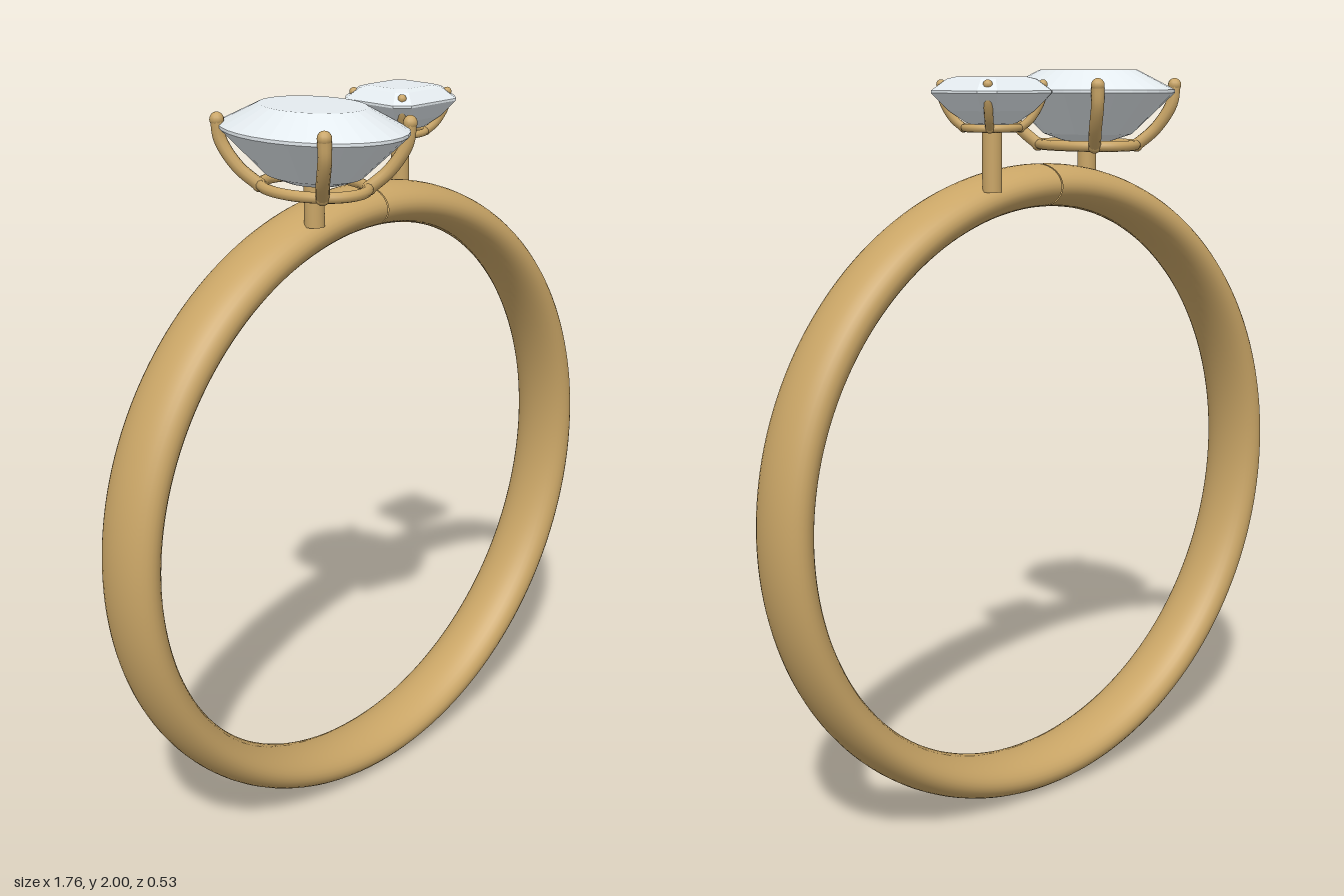
import * as THREE from 'three';

const gold = new THREE.MeshStandardMaterial({ color: 0xc9a566, side: THREE.DoubleSide });
const gem = new THREE.MeshStandardMaterial({ color: 0xe4ebef, flatShading: true });

function add(parent, name, geometry, material = gold) {
  const mesh = new THREE.Mesh(geometry, material);
  mesh.name = name;
  parent.add(mesh);
  return mesh;
}

// Faceted stone: one outline [x, z] scaled by levels [scale, y] from table to culet
function stoneGeometry(outline, levels) {
  const n = outline.length, pos = [], index = [];
  const rows = [[0, levels[0][1]], ...levels];
  for (const [s, y] of rows) for (const [x, z] of outline) pos.push(x * s, y, z * s);
  for (let i = 0; i < rows.length - 1; i++) {
    for (let j = 0; j < n; j++) {
      const k = (j + 1) % n, a = i * n + j, b = i * n + k;
      if (rows[i][0] > 0) index.push(a, b, a + n);
      if (rows[i + 1][0] > 0) index.push(b, b + n, a + n);
    }
  }
  const g = new THREE.BufferGeometry();
  g.setAttribute('position', new THREE.Float32BufferAttribute(pos, 3));
  g.setIndex(index);
  const flat = g.toNonIndexed();
  flat.computeVertexNormals();
  return flat;
}

// Closed elliptical wire lying flat at height y
function wireRing(rx, rz, y, r) {
  const pts = [];
  for (let i = 0; i < 32; i++) {
    const a = (i / 32) * Math.PI * 2;
    pts.push(new THREE.Vector3(rx * Math.cos(a), y, rz * Math.sin(a)));
  }
  return new THREE.TubeGeometry(new THREE.CatmullRomCurve3(pts, true), 64, r, 10, true);
}

// Stone on a post, held by a wire basket and four mirrored prongs
function setting(name, o) {
  const g = new THREE.Group();
  g.name = name;
  add(g, 'stone', stoneGeometry(o.outline, o.levels), gem);
  add(g, 'basketRing', wireRing(o.ring[0], o.ring[1], o.ring[2], o.ring[3]));
  const h = o.postTop - o.postBottom;
  add(g, 'post', new THREE.CylinderGeometry(o.postR, o.postR, h, 20))
    .position.y = o.postBottom + h / 2;
  for (const sx of [1, -1]) {
    for (const sz of [1, -1]) {
      const pts = o.prong.map(([x, y, z]) => new THREE.Vector3(x * sx, y, z * sz));
      add(g, 'prong', new THREE.TubeGeometry(new THREE.CatmullRomCurve3(pts), 20, o.prongR, 10));
      for (const p of [pts[0], pts[pts.length - 1]]) {
        add(g, 'prongTip', new THREE.SphereGeometry(o.prongR * 1.08, 12, 8)).position.copy(p);
      }
    }
  }
  g.position.set(o.x, 0, o.z);
  return g;
}

export function createModel() {
  const model = new THREE.Group();
  model.name = 'ring';

  // Oval-section band with a hairline seam at the top
  const gap = 0.004;
  const band = new THREE.TorusGeometry(0.822, 0.056, 32, 180, Math.PI * 2 - gap);
  band.rotateZ(Math.PI / 2 + gap / 2);
  band.scale(1, 1, 0.093 / 0.056);
  add(model, 'band', band).position.set(0, 0.882, -0.072);

  // Large oval stone
  const oval = [];
  for (let i = 0; i < 32; i++) {
    const a = (i / 32) * Math.PI * 2;
    oval.push([0.2 * Math.cos(a), 0.267 * Math.sin(a)]);
  }
  model.add(setting('ovalSetting', {
    x: -0.243, z: -0.003, outline: oval,
    levels: [[0.57, 2], [1, 1.948], [1, 1.94], [0.52, 1.83], [0.3, 1.812], [0, 1.8]],
    ring: [0.113, 0.15, 1.8, 0.014],
    postR: 0.026, postBottom: 1.7, postTop: 1.805,
    prong: [[0.08, 1.8, 0.112], [0.115, 1.845, 0.15], [0.14, 1.91, 0.183], [0.145, 1.96, 0.188]],
    prongR: 0.017,
  }));

  // Small square stone with cut corners
  const s = 0.122, c = 0.088;
  const square = [[s, -c], [s, c], [c, s], [-c, s], [-s, c], [-s, -c], [-c, -s], [c, -s]];
  model.add(setting('squareSetting', {
    x: 0.225, z: -0.148, outline: square,
    levels: [[0.57, 1.982], [0.74, 1.976], [1, 1.948], [1, 1.942], [0.72, 1.9], [0.42, 1.87], [0, 1.855]],
    ring: [0.068, 0.068, 1.858, 0.01],
    postR: 0.025, postBottom: 1.7, postTop: 1.862,
    prong: [[0.05, 1.858, 0.05], [0.068, 1.88, 0.068], [0.086, 1.925, 0.086], [0.089, 1.963, 0.089]],
    prongR: 0.011,
  }));

  return model;
}
